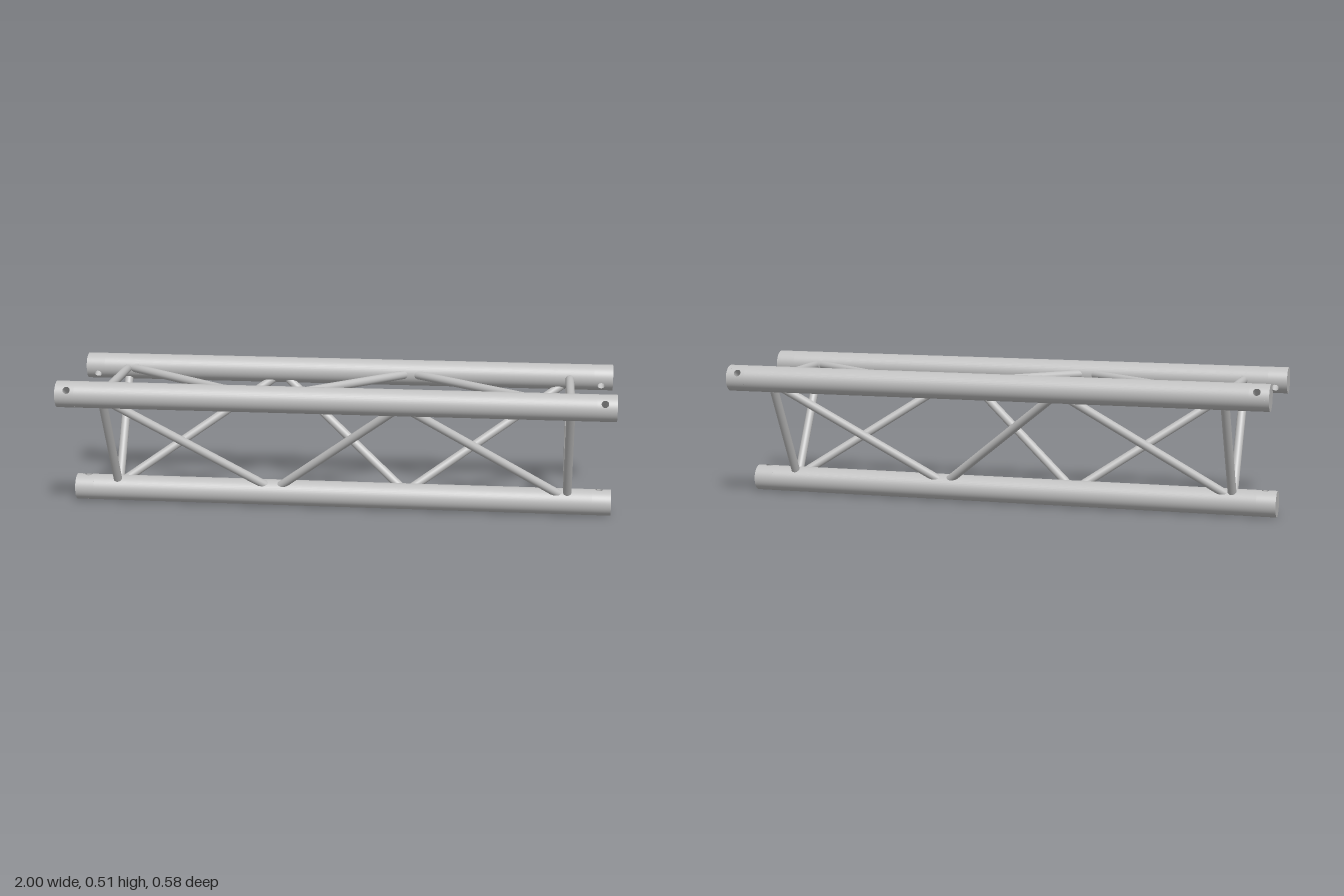
import * as THREE from 'three';
import { ParametricGeometry } from 'three/addons/geometries/ParametricGeometry.js';

const R = 0.048;        // chord radius
const BRACE_R = 0.0158; // brace radius
const HOLE_R = 0.013;   // pin hole radius
const HOLE_X = 0.957;   // pin hole position along the chord
const BAND = 0.027;     // half length of the drilled band
const ARC = 0.6;        // half angle of the drilled patch

const steel = new THREE.MeshStandardMaterial({ color: 0xc0c0c0, side: THREE.DoubleSide });
steel.name = 'steel';

function add(parent, name, geometry, x = 0) {
  const mesh = new THREE.Mesh(geometry, steel);
  mesh.name = name;
  mesh.position.x = x;
  parent.add(mesh);
  return mesh;
}

// Cylinder lying along x, optionally only an arc of it
function tube(length, open = false, start = 0, sweep = Math.PI * 2) {
  return new THREE.CylinderGeometry(R, R, length, 48, 1, open, start, sweep).rotateZ(-Math.PI / 2);
}

// Curved wall patch, square outside, with a round hole in the middle
function drilledPatch() {
  return new ParametricGeometry((u, v, target) => {
    const c = Math.cos(u * Math.PI * 2), s = Math.sin(u * Math.PI * 2);
    const m = Math.max(Math.abs(c), Math.abs(s));
    const x = THREE.MathUtils.lerp(HOLE_R * c, BAND * c / m, v);
    const a = THREE.MathUtils.lerp(Math.asin(HOLE_R * s / R), ARC * s / m, v);
    target.set(x, R * Math.cos(a), R * Math.sin(a));
  }, 32, 4);
}

// Long tube with a pin hole through each end
function makeChord(name) {
  const chord = new THREE.Group();
  chord.name = name;
  add(chord, 'chordTube', tube(2 * (HOLE_X - BAND)));
  const tip = 1 - HOLE_X - BAND;
  for (const side of [-1, 1]) {
    add(chord, 'chordTip', tube(tip), side * (1 - tip / 2));
    for (const half of [1, 3]) {
      const arc = tube(2 * BAND, true, half * Math.PI / 2 + ARC, Math.PI - 2 * ARC);
      add(chord, 'chordBandSide', arc, side * HOLE_X);
      const patch = drilledPatch();
      if (half === 3) patch.rotateX(Math.PI);
      add(chord, 'chordDrilledWall', patch, side * HOLE_X);
    }
    const bore = new THREE.CylinderGeometry(HOLE_R, HOLE_R, 2 * R - 0.003, 32, 1, true);
    add(chord, 'pinHole', bore, side * HOLE_X);
  }
  return chord;
}

// Round bar between two chords; xa and xb are where it meets their surfaces
function addBrace(parent, name, a, b, xa, xb) {
  const across = new THREE.Vector3(0, b.y - a.y, b.z - a.z).normalize();
  const p = new THREE.Vector3(xa, a.y, a.z).addScaledVector(across, R);
  const q = new THREE.Vector3(xb, b.y, b.z).addScaledVector(across, -R);
  const dir = q.clone().sub(p);
  const length = dir.length() + 0.044; // ends sink into the chords
  const mesh = add(parent, name, new THREE.CylinderGeometry(BRACE_R, BRACE_R, length, 24));
  mesh.position.copy(p).add(q).multiplyScalar(0.5);
  mesh.quaternion.setFromUnitVectors(new THREE.Vector3(0, 1, 0), dir.normalize());
}

export function createModel() {
  const truss = new THREE.Group();
  truss.name = 'triangularTruss';

  // Three chords in an equilateral triangle, holes pointing to its centre
  const front = { name: 'frontChord', y: 0.4645, z: 0.241, turn: Math.PI / 3 };
  const back = { name: 'backChord', y: 0.4645, z: -0.241, turn: -Math.PI / 3 };
  const bottom = { name: 'bottomChord', y: R, z: 0, turn: 0 };
  for (const c of [front, back, bottom]) {
    const chord = makeChord(c.name);
    chord.position.set(0, c.y, c.z);
    chord.rotation.x = c.turn;
    truss.add(chord);
  }

  // Each face: a straight bar at both ends and a zigzag of three diagonals
  const faces = [['front', front, bottom], ['back', bottom, back], ['top', back, front]];
  for (const [name, a, b] of faces) {
    const face = new THREE.Group();
    face.name = name + 'Bracing';
    for (const x of [-0.84, 0.84]) addBrace(face, 'endBrace', a, b, x, x);
    addBrace(face, 'diagonalBrace', a, b, -0.8, -0.295);
    addBrace(face, 'diagonalBrace', b, a, -0.21, 0.21);
    addBrace(face, 'diagonalBrace', a, b, 0.285, 0.795);
    truss.add(face);
  }
  return truss;
}
